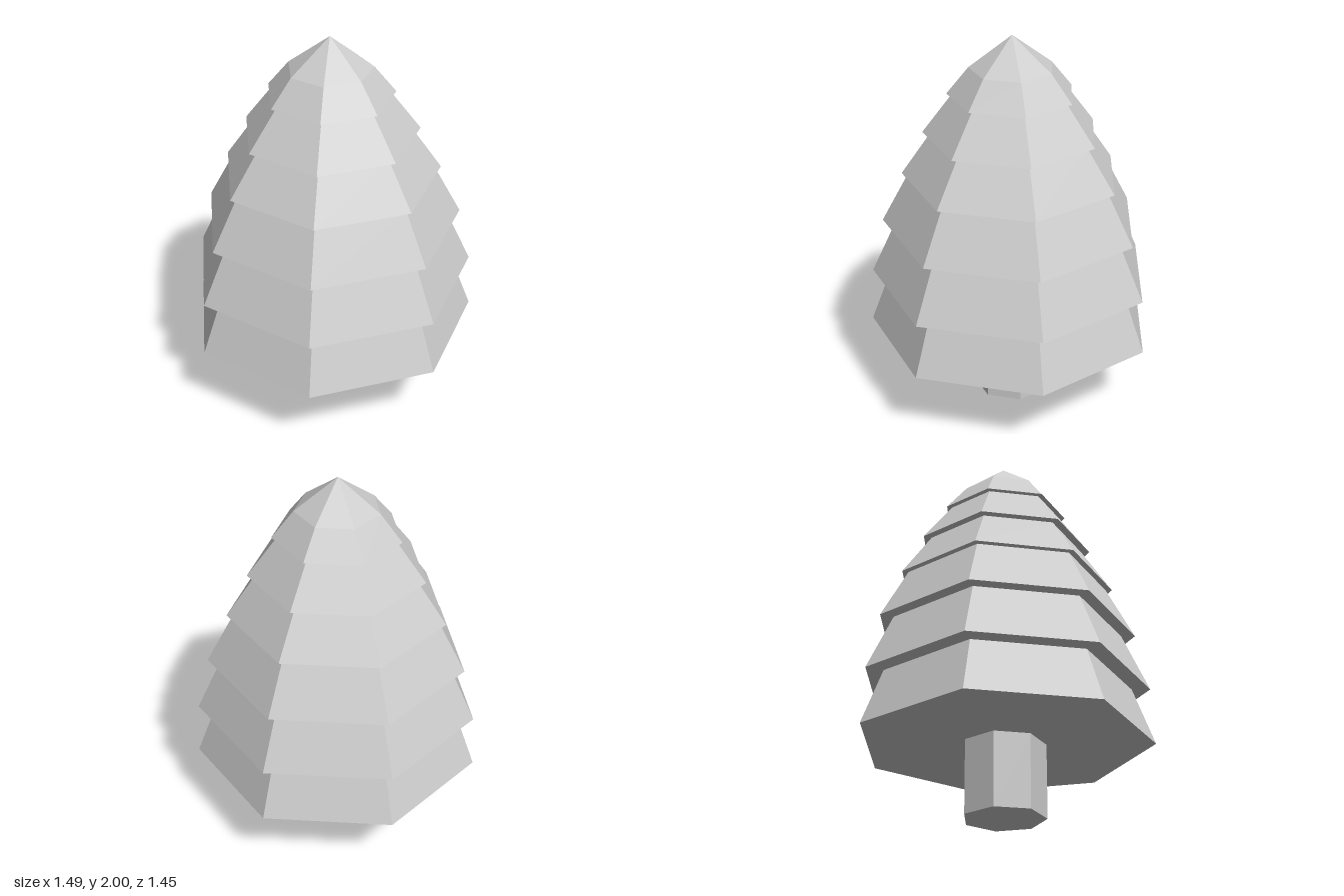
import * as THREE from 'three';

const SIDES = 7;

export function createModel() {
  const model = new THREE.Group();
  model.name = 'tree';
  const material = new THREE.MeshStandardMaterial({ color: 0xcccccc, flatShading: true });

  // Seven-sided ring with one corner pointing to the back
  function addRing(parent, name, y0, y1, bottomRadius, topRadius) {
    const geometry = new THREE.CylinderGeometry(topRadius, bottomRadius, y1 - y0, SIDES, 1, false, Math.PI);
    geometry.translate(0, (y0 + y1) / 2, 0);
    const mesh = new THREE.Mesh(geometry, material);
    mesh.name = name;
    parent.add(mesh);
  }

  // Trunk
  addRing(model, 'trunk', 0, 0.385, 0.213, 0.213);

  // Overlapping tiers of foliage: bottom y, bottom radius, top radius
  const tiers = [
    [0.385, 0.762, 0.652],
    [0.68, 0.747, 0.61],
    [0.98, 0.682, 0.538],
    [1.25, 0.572, 0.415],
    [1.48, 0.459, 0.302],
    [1.69, 0.331, 0.219],
  ];
  const capBase = 1.83;
  const foliage = new THREE.Group();
  foliage.name = 'foliage';
  tiers.forEach(([y, bottom, top], i) => {
    const nextY = i + 1 < tiers.length ? tiers[i + 1][0] : capBase;
    addRing(foliage, `foliageTier${i + 1}`, y, nextY, bottom, top);
  });

  // Pointed tip
  addRing(foliage, 'treeTip', capBase, 2, 0.219, 0);
  model.add(foliage);

  // Centre the odd-sided outline front to back
  model.position.z = 0.038;
  return model;
}
